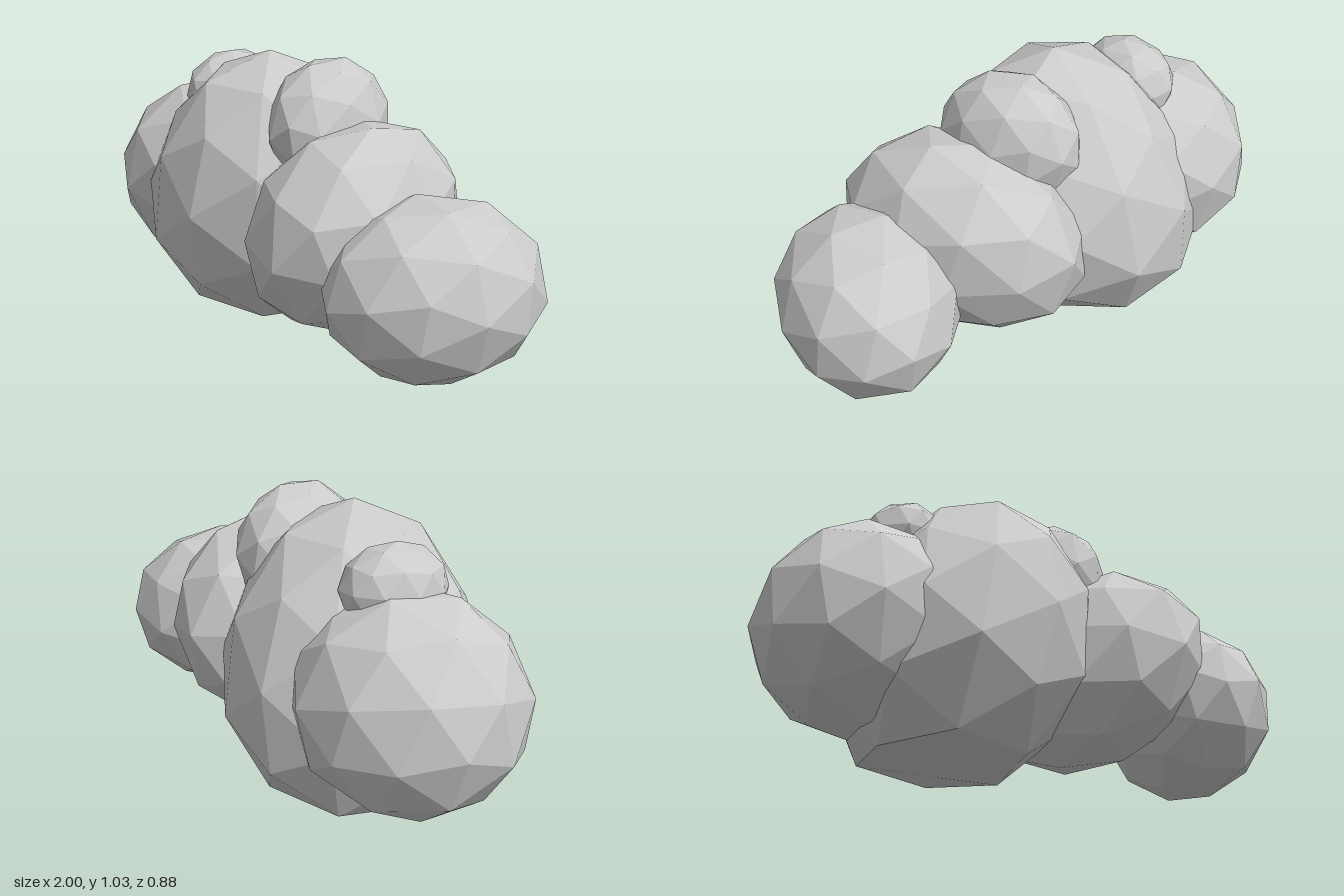
import * as THREE from 'three';

// Faceted puff: a turned 80-sided ball fitted to the given x, y and z extents, then
// narrowed towards the top (taper), slanted upwards (leanX, leanZ) and skewed
// sideways from back to front (skew). Nothing reaches below the ground.
function puff(name, [x0, x1], [y0, y1], [z0, z1], turn, { taper = 0, leanX = 0, leanZ = 0, skew = 0 } = {}) {
  const geo = new THREE.IcosahedronGeometry(1, 1);
  geo.applyMatrix4(new THREE.Matrix4().makeRotationFromEuler(new THREE.Euler(...turn)));
  geo.computeBoundingBox();
  const half = geo.boundingBox.max.clone();
  const pos = geo.attributes.position;
  const v = new THREE.Vector3();
  for (let i = 0; i < pos.count; i++) {
    v.fromBufferAttribute(pos, i).divide(half);
    const wide = 1 - taper * v.y;
    pos.setXYZ(
      i,
      (x0 + x1) / 2 + (v.x * wide * (x1 - x0)) / 2 + leanX * v.y + skew * v.z,
      Math.max(0, (y0 + y1) / 2 + (v.y * (y1 - y0)) / 2),
      (z0 + z1) / 2 + (v.z * wide * (z1 - z0)) / 2 + leanZ * v.y
    );
  }
  geo.computeVertexNormals();
  const mesh = new THREE.Mesh(
    geo,
    new THREE.MeshStandardMaterial({ color: 0xcccccc, flatShading: true })
  );
  mesh.name = name;
  return mesh;
}

export function createModel() {
  const cloud = new THREE.Group();
  cloud.name = 'cloud';
  cloud.add(
    // Large body puffs, from one end to the other
    puff('endPuffRight', [-1, -0.26], [0.1, 0.83], [-0.41, 0.37], [0.3, 0.5, 0.2],
      { leanX: 0.03, skew: -0.03 }),
    puff('mainPuff', [-0.7, 0.2], [-0.04, 1.03], [-0.435, 0.435], [0, 0.3, 0],
      { taper: 0.13, leanX: 0.07, leanZ: 0.045 }),
    puff('middlePuff', [-0.08, 0.61], [0.11, 0.87], [-0.43, 0.43], [0.2, 0.8, 0.35],
      { leanX: 0.06, skew: 0.07 }),
    puff('endPuffLeft', [0.37, 1], [0.1, 0.7], [-0.37, 0.37], [0.5, 0.2, 0.6], { skew: -0.04 }),
    // Small puffs on top
    puff('topPuffLeft', [-0.12, 0.27], [0.57, 1.035], [-0.28, 0.23], [0.36, 0.4, 0], { skew: 0.04 }),
    puff('topPuffRight', [-0.65, -0.35], [0.66, 0.965], [-0.19, 0.18], [0.1, 0.3, 0.5])
  );
  return cloud;
}
